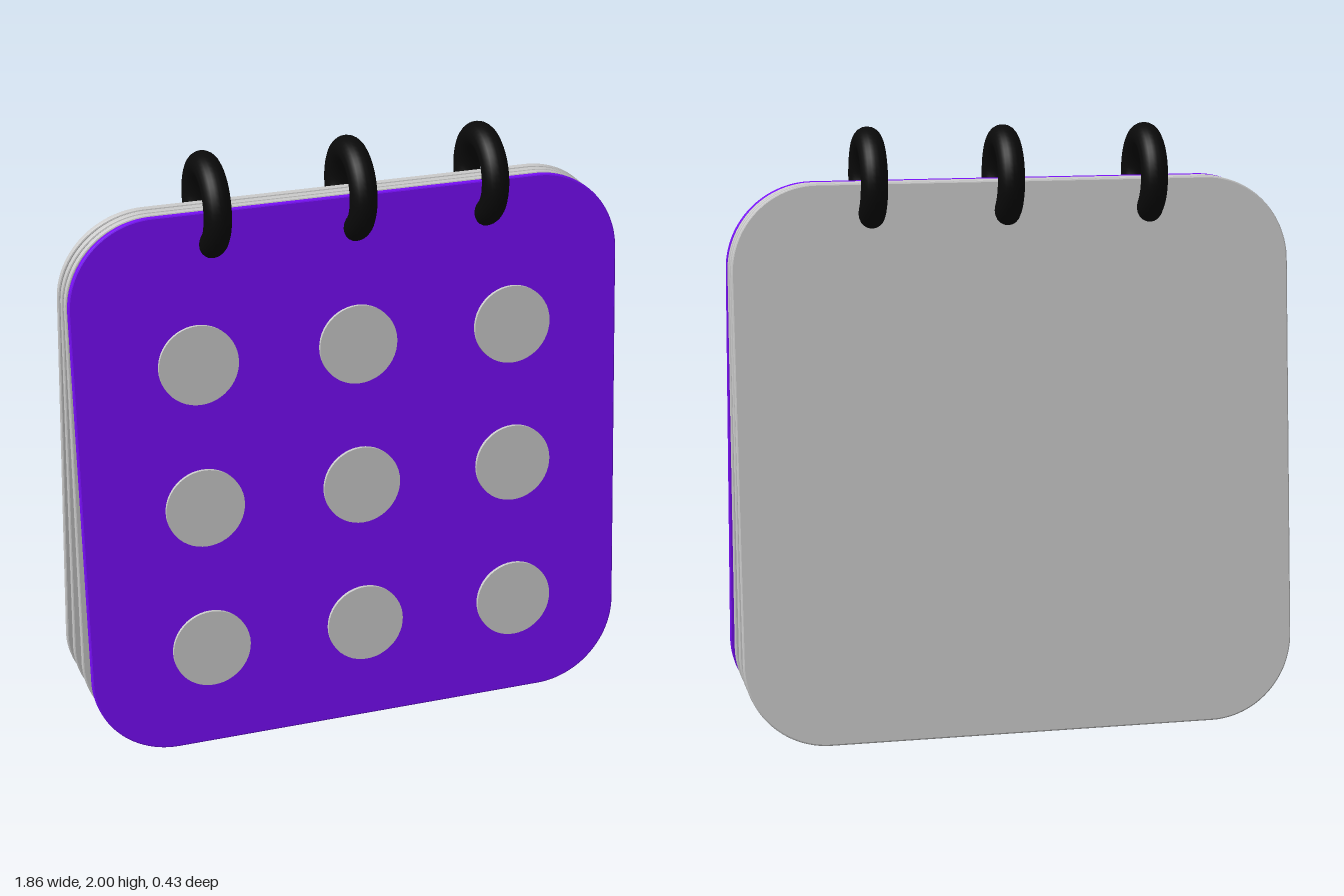
import * as THREE from 'three';

const paper = new THREE.MeshStandardMaterial({ color: 0xcccccc });
const purple = new THREE.MeshStandardMaterial({ color: 0x780df9 });
const black = new THREE.MeshStandardMaterial({ color: 0x0a0a0a });

const WIDTH = 1.855, THICK = 0.023, BEVEL = 0.005, CORNER = 0.28;

// Rounded rectangle slab centred on the origin, facing +z
function slabGeometry(width, height) {
  const w = width / 2 - BEVEL, h = height / 2 - BEVEL, r = CORNER - BEVEL;
  const s = new THREE.Shape();
  s.absarc(w - r, h - r, r, 0, Math.PI / 2);
  s.absarc(r - w, h - r, r, Math.PI / 2, Math.PI);
  s.absarc(r - w, r - h, r, Math.PI, Math.PI * 1.5);
  s.absarc(w - r, r - h, r, Math.PI * 1.5, Math.PI * 2);
  s.closePath();
  const g = new THREE.ExtrudeGeometry(s, {
    depth: THICK - 2 * BEVEL, bevelThickness: BEVEL, bevelSize: BEVEL,
    bevelSegments: 2, curveSegments: 16,
  });
  return g.translate(0, 0, BEVEL - THICK / 2);
}

// Leaf leaning between a bottom z and a top z
function makeLeaf(name, material, zBottom, zTop) {
  const y0 = 0.005, y1 = 1.823;
  const leaf = new THREE.Group();
  leaf.name = name;
  const slab = new THREE.Mesh(slabGeometry(WIDTH, Math.hypot(y1 - y0, zTop - zBottom)), material);
  slab.name = name + 'Panel';
  leaf.add(slab);
  leaf.position.set(0, (y0 + y1) / 2, (zBottom + zTop) / 2);
  leaf.rotation.x = Math.atan2(zTop - zBottom, y1 - y0);
  return leaf;
}

export function createModel() {
  const model = new THREE.Group();
  model.name = 'flipCalendar';

  // Cover and three fanned pages
  const cover = makeLeaf('cover', purple, 0.204, 0.058);
  model.add(cover);
  [[0.052, 0.029], [-0.085, 0], [-0.2, -0.034]].forEach(([bottom, top], i) =>
    model.add(makeLeaf('page' + (i + 1), paper, bottom, top)));

  // Grid of raised day dots on the cover
  const dotGeometry = new THREE.CylinderGeometry(0.132, 0.132, 0.022, 48).rotateX(Math.PI / 2);
  for (const y of [1.33, 0.842, 0.345]) {
    for (const x of [-0.52, 0.017, 0.553]) {
      const dot = new THREE.Mesh(dotGeometry, paper);
      dot.name = 'dayDot';
      dot.position.set(x, y - cover.position.y, THICK / 2 + 0.001);
      cover.add(dot);
    }
  }

  // Binding rings along the top edge
  const ringGeometry = new THREE.TorusGeometry(0.126, 0.044, 20, 48).rotateY(Math.PI / 2);
  for (const x of [-0.455, 0.023, 0.47]) {
    const ring = new THREE.Mesh(ringGeometry, black);
    ring.name = 'bindingRing';
    ring.position.set(x, 1.83, 0.018);
    model.add(ring);
  }
  return model;
}
